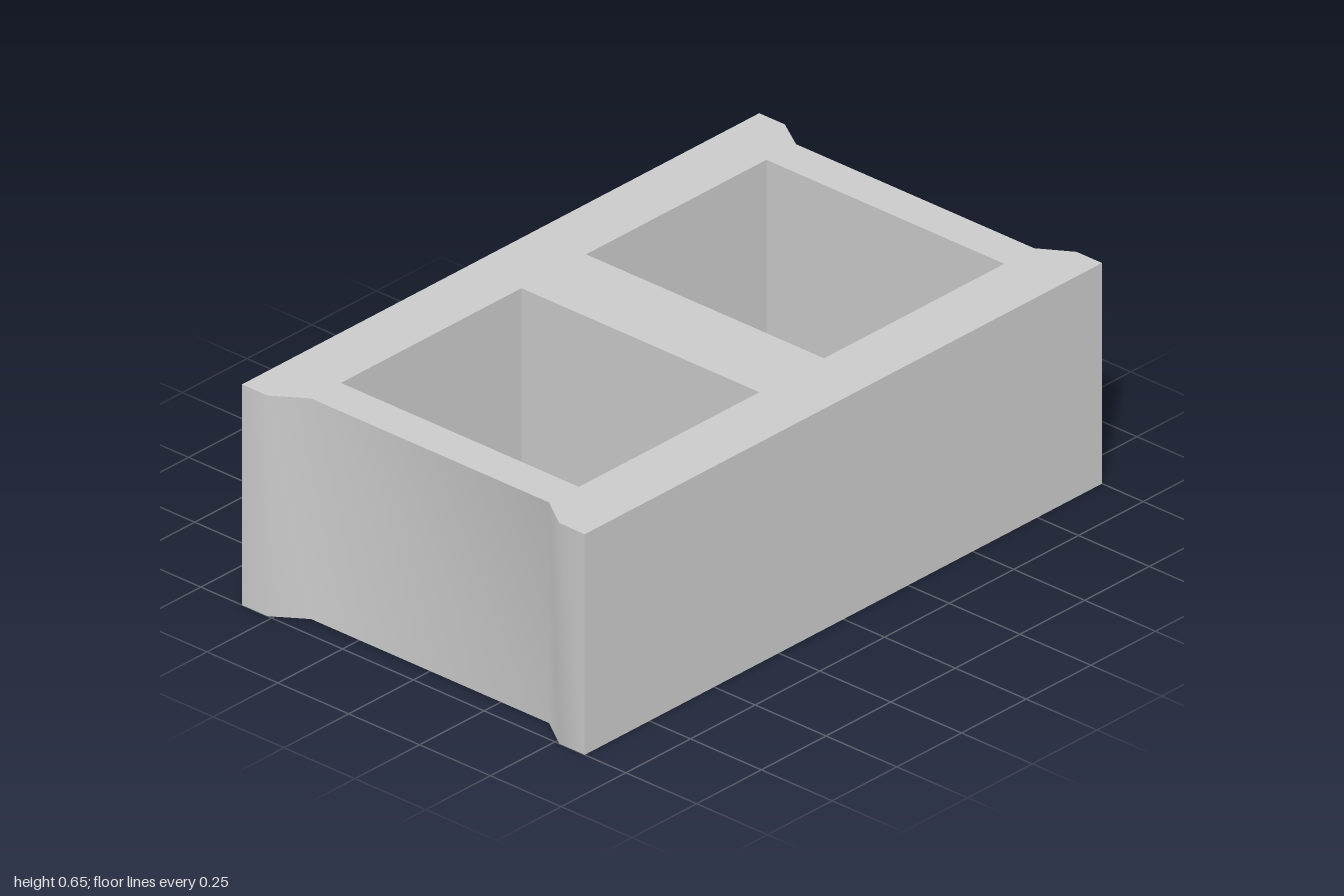
import * as THREE from 'three';
import { toCreasedNormals } from 'three/addons/utils/BufferGeometryUtils.js';

const HEIGHT = 0.655;
const HOLE_X = 0.42; // half width of the two cores
const HOLE_FRONT = 0.82; // front edge of the front core at the top
const HOLE_FRONT_LOW = 0.765; // the same edge at the bottom

// Plan points are [x, z]; shape y is -z so that the extrusion can be laid flat
const toPoints = (plan) => plan.map(([x, z]) => new THREE.Vector2(x, -z));

function rectangle(x, z0, z1) {
  return new THREE.Path(toPoints([[-x, z0], [x, z0], [x, z1], [-x, z1]]));
}

export function createModel() {
  const group = new THREE.Group();
  group.name = 'hollowBlock';

  // Outline with a shallow chamfered recess at each end
  const outline = new THREE.Shape(toPoints([
    [-0.605, 1], [-0.515, 1], [-HOLE_X, 0.935], [HOLE_X, 0.935], [0.515, 1], [0.605, 1],
    [0.605, -1], [0.515, -1], [HOLE_X, -0.94], [-HOLE_X, -0.94], [-0.515, -1], [-0.605, -1],
  ]));

  // Two square cores separated by the middle web
  outline.holes.push(
    rectangle(HOLE_X, -0.825, -0.128),
    rectangle(HOLE_X, 0.122, HOLE_FRONT),
  );

  let geometry = new THREE.ExtrudeGeometry(outline, { depth: HEIGHT, bevelEnabled: false });
  geometry.rotateX(-Math.PI / 2);

  // Lean the front wall of the front core inwards towards the bottom
  const pos = geometry.attributes.position;
  for (let i = 0; i < pos.count; i++) {
    if (pos.getY(i) < 0.01 && Math.abs(pos.getZ(i) - HOLE_FRONT) < 0.005) {
      pos.setZ(i, HOLE_FRONT_LOW);
    }
  }

  // Soft shading over the end chamfers, sharp right-angled edges
  geometry = toCreasedNormals(geometry, 0.8);

  const block = new THREE.Mesh(geometry, new THREE.MeshStandardMaterial({ color: 0xcccccc }));
  block.name = 'blockBody';
  group.add(block);
  return group;
}
